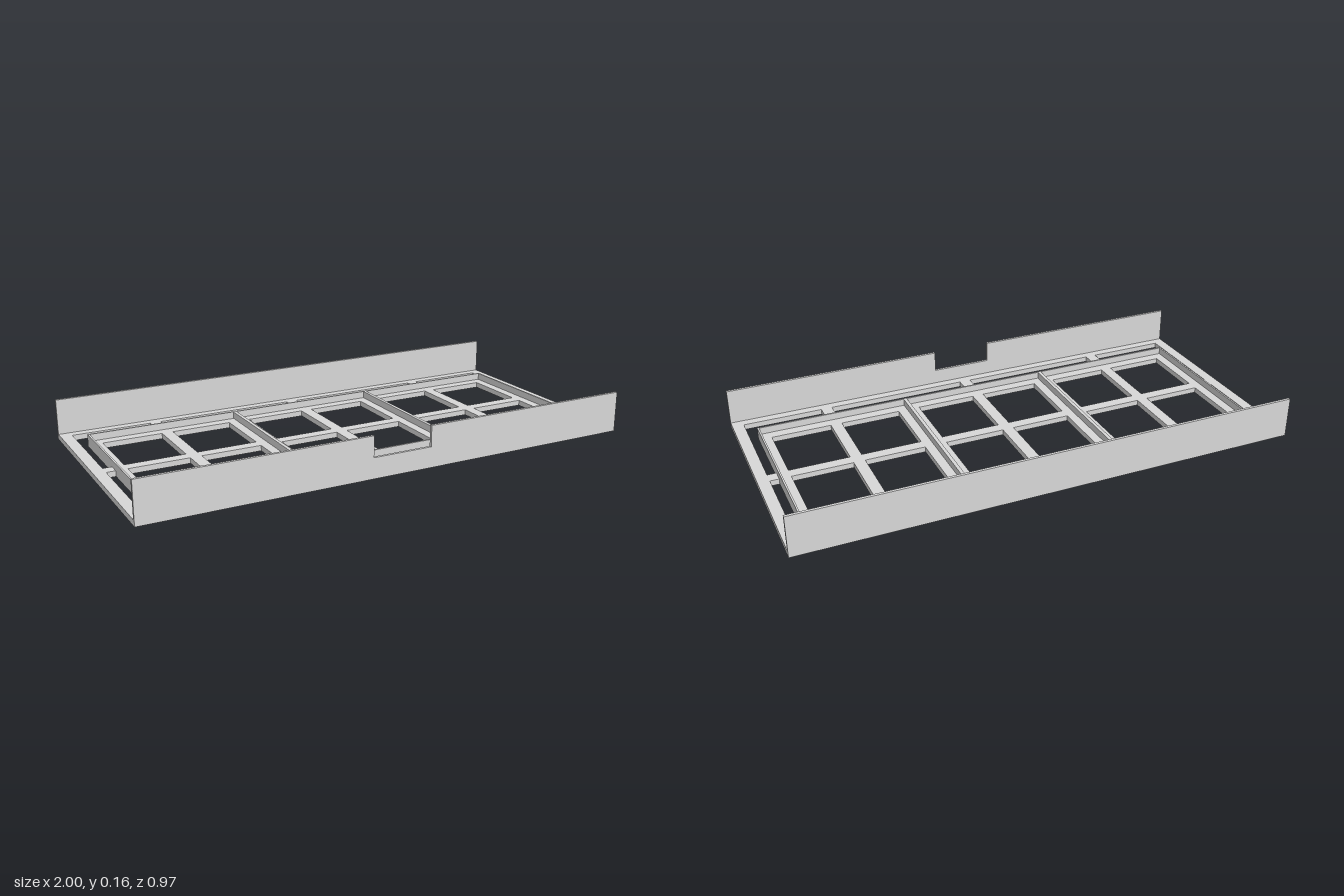
import * as THREE from 'three';

const grey = new THREE.MeshStandardMaterial({ color: 0xd8d8d8 });
grey.name = 'light grey plastic';

// corner points of a rectangle
const rect = (x0, y0, x1, y1) => [[x0, y0], [x1, y0], [x1, y1], [x0, y1]];
const vectors = (points) => points.map(([x, y]) => new THREE.Vector2(x, y));

function extrude(name, outline, holes, depth) {
  const shape = new THREE.Shape(vectors(outline));
  for (const hole of holes) shape.holes.push(new THREE.Path(vectors(hole)));
  const mesh = new THREE.Mesh(new THREE.ExtrudeGeometry(shape, { depth, bevelEnabled: false }), grey);
  mesh.name = name;
  return mesh;
}

export function createModel() {
  const group = new THREE.Group();
  group.name = 'trayHolder';

  const floor = 0.022, bar = 0.023, wall = 0.011, halfZ = 0.483;
  const trayX = 0.92, trayZ = 0.34;

  // Base grid: windows of the trays plus the gaps around them
  const windows = [[bar, 0.263], [0.351, 0.592], [0.637, 0.875]];
  const holes = [];
  for (const sx of [-1, 1]) {
    for (const sz of [-1, 1]) {
      for (const [a, b] of windows) holes.push(rect(sx * a, sz * bar, sx * b, sz * 0.291));
      holes.push(rect(sx * bar, sz * trayZ, sx * 0.592, sz * 0.436));
      // L-shaped corner gap
      holes.push([
        [0.637, trayZ], [trayX, trayZ], [trayX, bar],
        [0.955, bar], [0.955, 0.436], [0.637, 0.436],
      ].map(([x, z]) => [sx * x, sz * z]));
    }
  }
  const inner = halfZ - wall;
  const base = extrude('baseGrid', rect(-1, -inner, 1, inner), holes, floor);
  base.rotation.x = -Math.PI / 2;
  group.add(base);

  // Raised rim around three trays, with two dividers
  const t = 0.007, d = 0.007, third = 0.307;
  const bays = [
    [-trayX + t, -third - d],
    [-third + d, third - d],
    [third + d, trayX - t],
  ].map(([a, b]) => rect(a, -trayZ + t, b, trayZ - t));
  const rim = extrude('trayRims', rect(-trayX, -trayZ, trayX, trayZ), bays, 0.028);
  rim.rotation.x = -Math.PI / 2;
  rim.position.y = floor;
  group.add(rim);

  // Long side walls; the front one has a notch
  const top = 0.163;
  const back = extrude('backWall', rect(-1, 0, 1, top), [], wall);
  back.position.z = -halfZ;
  const front = extrude('frontWall', [
    [-1, 0], [1, 0], [1, top], [0.12, top],
    [0.12, 0.081], [-0.12, 0.081], [-0.12, top], [-1, top],
  ], [], wall);
  front.position.z = inner;
  group.add(back, front);

  return group;
}
